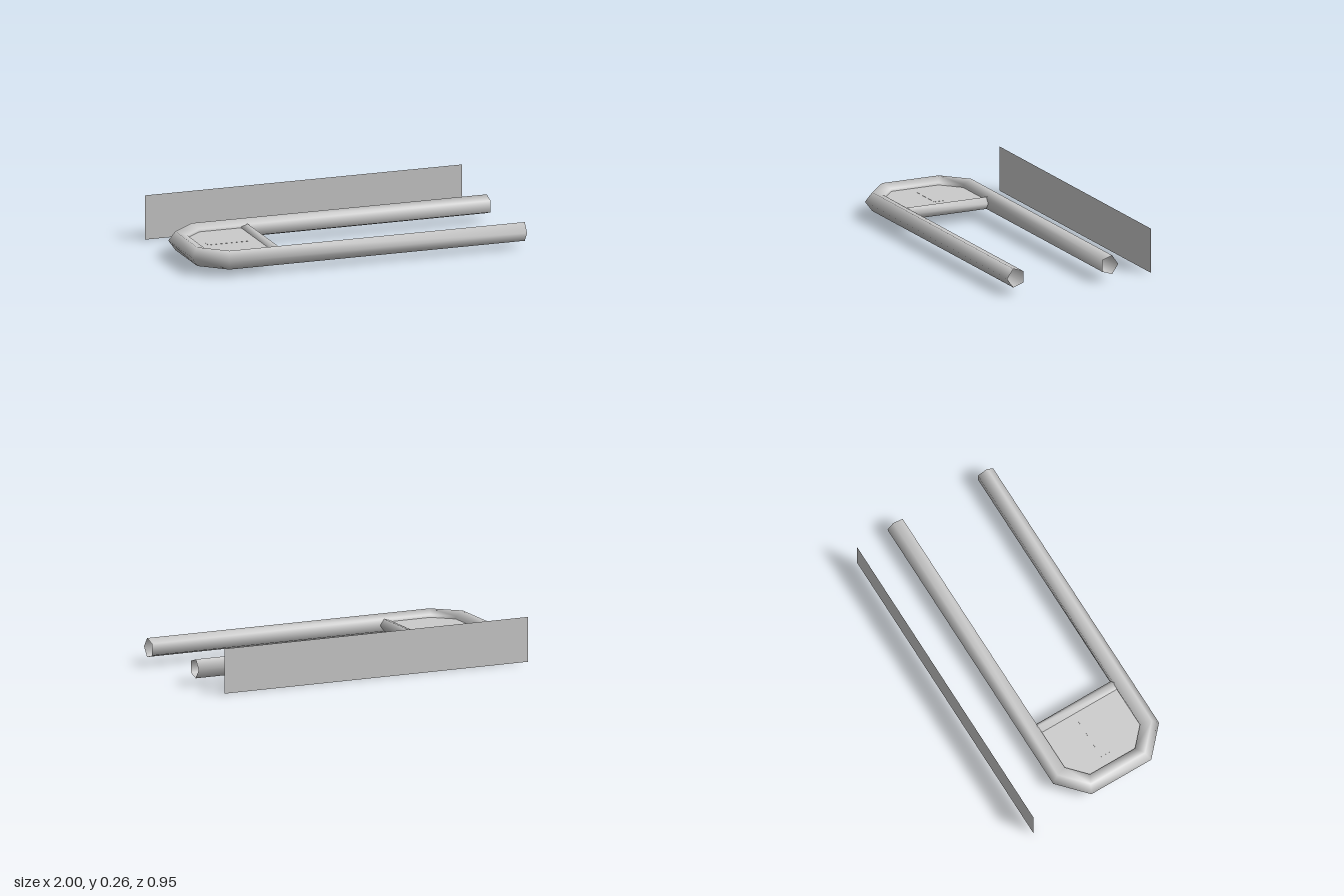
import * as THREE from 'three';

const grey = () => new THREE.MeshStandardMaterial({ color: 0xcccccc, side: THREE.DoubleSide });

// Five-sided section: [share of the width from outer to inner edge, height above the axis]
const SECTION = [[0, 0], [0.382, 0.951], [1, 0.588], [1, -0.588], [0.382, -0.951]];

// Open five-sided tube with mitred corners between an outer and an inner plan outline [x, z]
function pentagonTube(name, outer, inner, radius, y) {
  const positions = [], index = [];
  outer.forEach(([ox, oz], i) => {
    const [ix, iz] = inner[i];
    for (const [u, h] of SECTION) {
      positions.push(ox + (ix - ox) * u, y + h * radius, oz + (iz - oz) * u);
    }
  });
  for (let i = 0; i < outer.length - 1; i++) {
    for (let j = 0; j < 5; j++) {
      const a = i * 5 + j, b = i * 5 + (j + 1) % 5;
      index.push(a, b, a + 5, b, b + 5, a + 5);
    }
  }
  const geometry = new THREE.BufferGeometry();
  geometry.setAttribute('position', new THREE.Float32BufferAttribute(positions, 3));
  geometry.setIndex(index);
  geometry.computeVertexNormals();
  const mesh = new THREE.Mesh(geometry, grey());
  mesh.name = name;
  return mesh;
}

// Horizontal slab from a plan outline [x, z]
function slab(name, outline, bottom, height) {
  const shape = new THREE.Shape(outline.map(([x, z]) => new THREE.Vector2(x, -z)));
  const geometry = new THREE.ExtrudeGeometry(shape, { depth: height, bevelEnabled: false });
  geometry.rotateX(-Math.PI / 2);
  const mesh = new THREE.Mesh(geometry, grey());
  mesh.name = name;
  mesh.position.y = bottom;
  return mesh;
}

export function createModel() {
  const group = new THREE.Group();
  group.name = 'railFrame';

  // U-shaped frame with chamfered corners
  const outer = [[1, -0.24], [-0.83, -0.24], [-1, -0.085], [-1, 0.32], [-0.83, 0.477], [1, 0.477]];
  const inner = [[1, -0.137], [-0.79, -0.137], [-0.902, -0.035], [-0.902, 0.27], [-0.79, 0.373], [1, 0.373]];
  group.add(pentagonTube('frame', outer, inner, 0.059, 0.097));

  // Crossbar running into both rails
  group.add(pentagonTube('crossbar',
    [[-0.467, 0.44], [-0.467, -0.17]], [[-0.533, 0.44], [-0.533, -0.17]], 0.038, 0.098));

  // Floor panel filling the closed end, its rim buried in the frame
  const mid = outer.map(([x, z], i) => [(x + inner[i][0]) / 2, (z + inner[i][1]) / 2]).slice(1, 5);
  group.add(slab('floorPanel', [[-0.51, mid[0][1]], ...mid, [-0.51, mid[3][1]]], 0.083, 0.032));

  // Thin plates on the panel's top and underside
  group.add(slab('topPlate', [[-0.84, 0.08], [-0.84, 0.15], [-0.59, 0.15], [-0.59, 0.08]], 0.114, 0.002));
  group.add(slab('undersidePlate', [[-0.57, 0.015], [-0.87, 0.015], [-0.72, 0.245]], 0.082, 0.002));

  // Upright sheet standing behind the frame
  const sheet = new THREE.Mesh(new THREE.PlaneGeometry(1.95, 0.265), grey());
  sheet.name = 'backSheet';
  sheet.position.set(-0.025, 0.1325, -0.477);
  group.add(sheet);

  return group;
}
